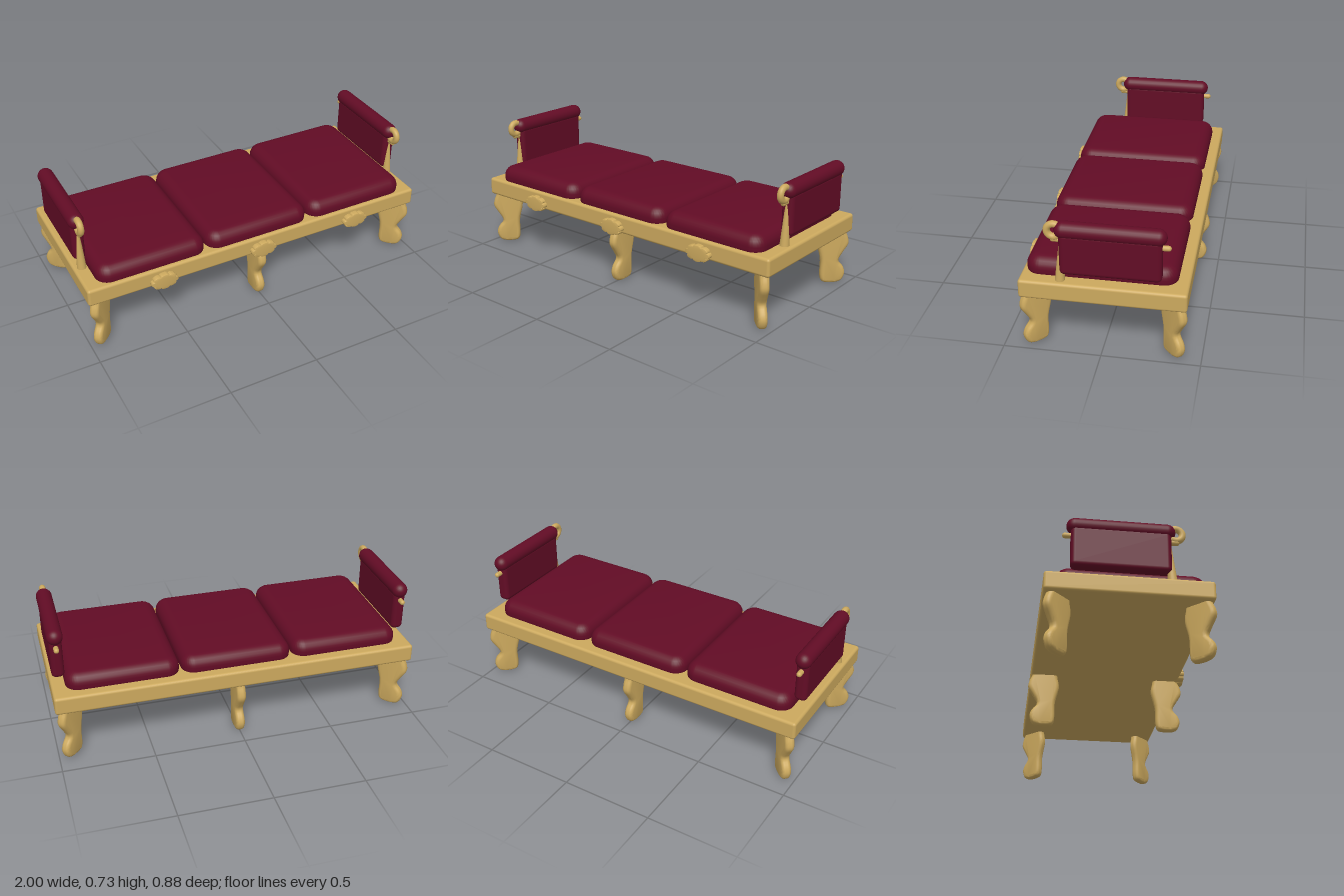
import * as THREE from 'three';
import { toCreasedNormals } from 'three/addons/utils/BufferGeometryUtils.js';
import { RoundedBoxGeometry } from 'three/addons/geometries/RoundedBoxGeometry.js';

export function createModel() {
  const model = new THREE.Group();
  model.name = 'daybed';
  const gold = new THREE.MeshStandardMaterial({ color: 0xcca95e });
  gold.name = 'gold wood';
  const red = new THREE.MeshStandardMaterial({ color: 0x620c25 });
  red.name = 'burgundy fabric';

  function add(parent, name, geometry, material, x = 0, y = 0, z = 0) {
    const mesh = new THREE.Mesh(geometry, material);
    mesh.name = name;
    mesh.position.set(x, y, z);
    parent.add(mesh);
    return mesh;
  }

  // Extrusion with a rounded edge that stays inside the outline, centred in depth
  function softExtrude(shape, thickness, bevel, segments = 4, curveSegments = 6) {
    const depth = thickness - 2 * bevel;
    const geo = new THREE.ExtrudeGeometry(shape, {
      depth, bevelEnabled: true, bevelThickness: bevel, bevelSize: bevel,
      bevelOffset: -bevel, bevelSegments: segments, curveSegments,
    });
    geo.translate(0, 0, -depth / 2);
    return toCreasedNormals(geo, 0.7);
  }

  function roundedRect(w, h, r) {
    const x = w / 2, y = h / 2, s = new THREE.Shape();
    s.moveTo(-x + r, -y);
    s.lineTo(x - r, -y).absarc(x - r, -y + r, r, -Math.PI / 2, 0);
    s.lineTo(x, y - r).absarc(x - r, y - r, r, 0, Math.PI / 2);
    s.lineTo(-x + r, y).absarc(-x + r, y - r, r, Math.PI / 2, Math.PI);
    s.lineTo(-x, -y + r).absarc(-x + r, -y + r, r, Math.PI, Math.PI * 1.5);
    return s;
  }

  // Base frame
  add(model, 'baseFrame', new RoundedBoxGeometry(2, 0.1, 0.835, 4, 0.015), gold, 0, 0.35, -0.0075);

  // Three seat cushions, their lower edges sunk into the frame
  const cushionGeo = softExtrude(roundedRect(0.612, 0.76, 0.075), 0.13, 0.06, 6, 8);
  cushionGeo.rotateX(-Math.PI / 2);
  [-0.622, 0, 0.622].forEach((x, i) => {
    add(model, 'seatCushion' + (i + 1), cushionGeo, red, x, 0.42, 0.012);
  });

  // Curved flat legs: four on the diagonals, two in the middle
  const legOutline = [
    [-0.075, 0.33], [-0.078, 0.29], [-0.087, 0.23], [-0.066, 0.135], [-0.065, 0.05],
    [-0.056, 0.012], [-0.03, 0], [0.025, 0], [0.058, 0.015], [0.073, 0.055],
    [0.062, 0.092], [0.034, 0.13], [0.055, 0.175], [0.084, 0.225], [0.08, 0.265],
    [0.065, 0.3], [0.06, 0.33],
  ].map(([d, y]) => new THREE.Vector2(d, y));
  const legCurve = new THREE.SplineCurve(legOutline);
  const legGeo = softExtrude(new THREE.Shape(legCurve.getPoints(56)), 0.05, 0.02, 4);
  for (const side of [-1, 0, 1]) {
    for (const end of [-1, 1]) {
      const leg = add(model, side === 0 ? 'middleLeg' : 'cornerLeg', legGeo, gold,
        side * 0.922, 0, end > 0 ? 0.345 : -0.355);
      leg.rotation.y = Math.atan2(-end, side);
    }
  }

  // Flower ornaments on the front rail
  const petals = [];
  for (let i = 0; i < 96; i++) {
    const a = (i / 96) * Math.PI * 2;
    const r = 0.84 + 0.16 * Math.sqrt(Math.abs(Math.cos(a * 4)));
    petals.push(new THREE.Vector2(Math.cos(a) * r * 0.076, Math.sin(a) * r * 0.045));
  }
  const flowerGeo = softExtrude(new THREE.Shape(petals), 0.05, 0.005, 2);
  for (const x of [-0.588, 0, 0.588]) {
    add(model, 'flowerOrnament', flowerGeo, gold, x, 0.333, 0.415);
  }

  // Padded arms at both ends
  const panelGeo = new RoundedBoxGeometry(0.068, 0.23, 0.5, 5, 0.025);
  const rollGeo = new THREE.CapsuleGeometry(0.043, 0.459, 8, 24).rotateX(Math.PI / 2);
  const rodGeo = new THREE.CapsuleGeometry(0.014, 0.557, 6, 16).rotateX(Math.PI / 2);
  const ringGeo = new THREE.TorusGeometry(0.034, 0.0175, 14, 32).rotateY(Math.PI / 2);
  const postGeo = new THREE.CylinderGeometry(0.01, 0.025, 0.23, 20);
  for (const side of [-1, 1]) {
    const arm = new THREE.Group();
    arm.name = side > 0 ? 'leftArm' : 'rightArm';
    arm.position.x = side * 0.955;
    add(arm, 'armPanel', panelGeo, red, 0, 0.56, -0.048);
    add(arm, 'armRoll', rollGeo, red, 0, 0.683, -0.047);
    add(arm, 'armRod', rodGeo, gold, 0, 0.628, -0.047);
    add(arm, 'scrollRing', ringGeo, gold, 0, 0.675, 0.227);
    const post = add(arm, 'armPost', postGeo, gold, 0, 0.51, 0.198);
    post.rotation.x = -0.06;
    model.add(arm);
  }

  return model;
}
